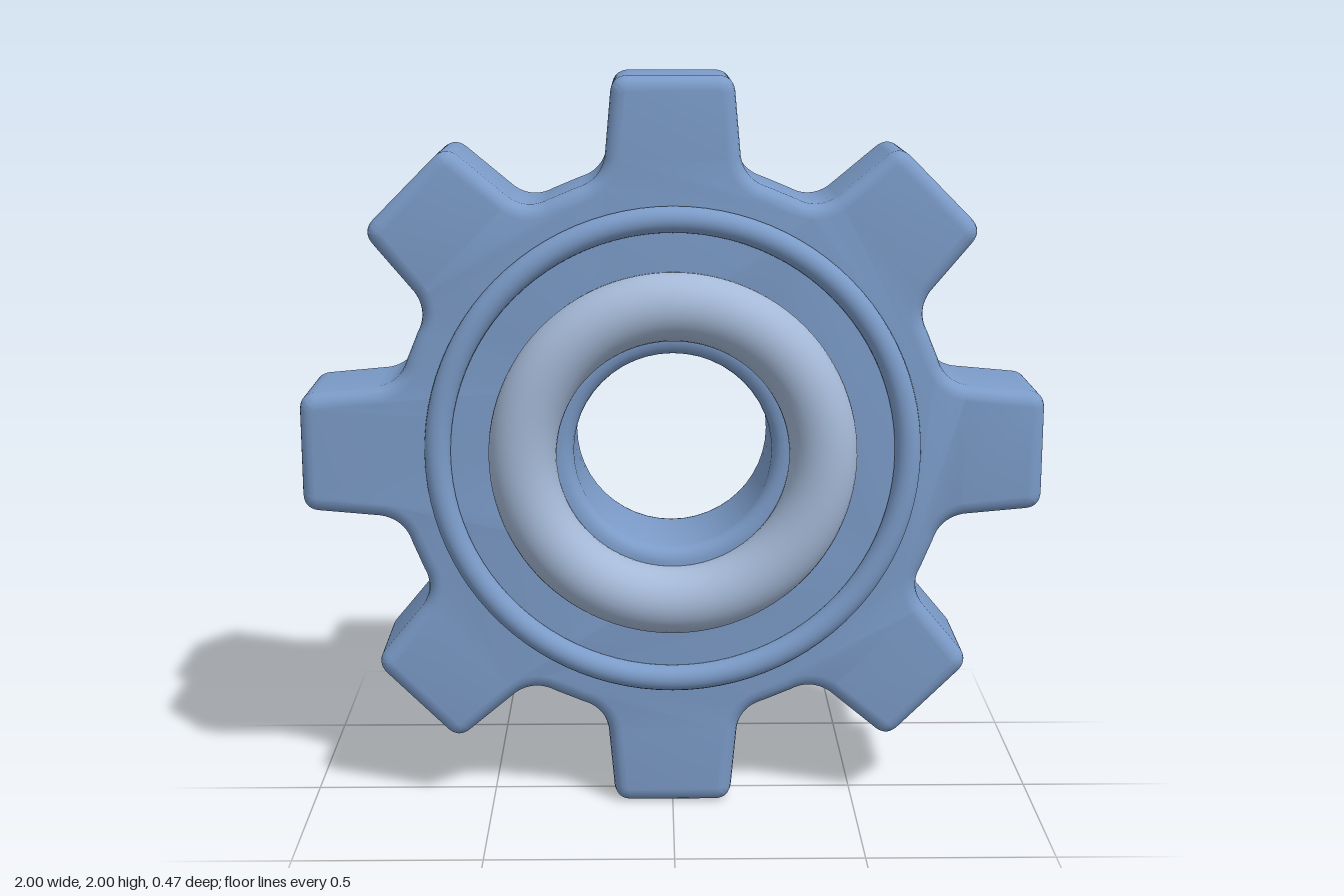
import * as THREE from 'three';
import { toCreasedNormals } from 'three/addons/utils/BufferGeometryUtils.js';

const TEETH = 8;
const BACK = -0.235;
const FRONT = 0.122;
const BEVEL = 0.038;

// Gear silhouette: tapered teeth with rounded tips and filleted roots
function gearShape() {
  const shape = new THREE.Shape();
  for (let i = 0; i < TEETH; i++) {
    const a = (i / TEETH) * Math.PI * 2;
    // u runs outward along the tooth, v across it
    const at = (u, v) => [u * Math.cos(a) - v * Math.sin(a), u * Math.sin(a) + v * Math.cos(a)];
    if (i === 0) shape.moveTo(...at(0.71, -0.25));
    else shape.lineTo(...at(0.71, -0.25));
    shape.quadraticCurveTo(...at(0.728, -0.19), ...at(0.79, -0.178));
    shape.lineTo(...at(0.955, -0.163));
    shape.quadraticCurveTo(...at(1, -0.159), ...at(1, -0.113));
    shape.lineTo(...at(1, 0.113));
    shape.quadraticCurveTo(...at(1, 0.159), ...at(0.955, 0.163));
    shape.lineTo(...at(0.79, 0.178));
    shape.quadraticCurveTo(...at(0.728, 0.19), ...at(0.71, 0.25));
  }
  shape.closePath();
  const bore = new THREE.Path();
  bore.absarc(0, 0, 0.267, 0, Math.PI * 2, true);
  shape.holes.push(bore);
  return shape;
}

export function createModel() {
  const group = new THREE.Group();
  const steelBlue = new THREE.MeshStandardMaterial({ color: 0x7b9bc8 });
  steelBlue.name = 'steel blue';
  const paleBlue = new THREE.MeshStandardMaterial({ color: 0xa5b9d7 });
  paleBlue.name = 'pale blue';

  const add = (name, geometry, material, z) => {
    const mesh = new THREE.Mesh(geometry, material);
    mesh.name = name;
    mesh.position.set(0, 1, z);
    group.add(mesh);
  };

  // Toothed wheel with softened edges and a round bore
  const body = new THREE.ExtrudeGeometry(gearShape(), {
    depth: FRONT - BACK - 2 * BEVEL,
    bevelSize: BEVEL,
    bevelOffset: -BEVEL,
    bevelThickness: BEVEL,
    bevelSegments: 4,
    curveSegments: 24,
  });
  add('gearBody', toCreasedNormals(body, 0.6), steelBlue, BACK + BEVEL);

  // Thin raised ring and thick hub collar on the front face
  add('faceRing', new THREE.TorusGeometry(0.63, 0.035, 20, 96), steelBlue, 0.129);
  add('hubCollar', new THREE.TorusGeometry(0.402, 0.091, 32, 96), paleBlue, 0.144);

  return group;
}
